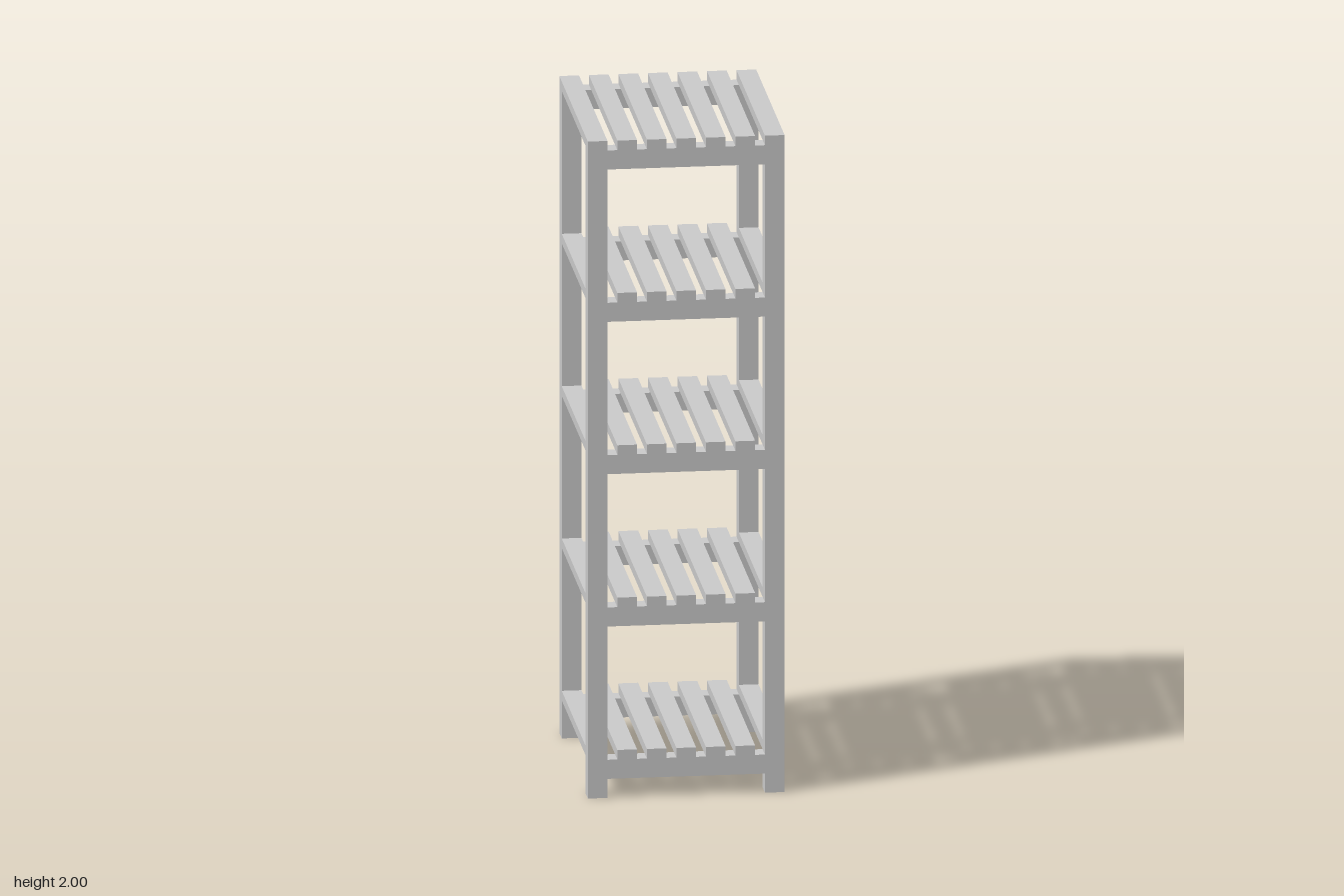
import * as THREE from 'three';

// The rack is laid out on a module: one slat thickness, 69 of them high.
const U = 2 / 69;
const LEG = 2, HALF_W = 10, HALF_D = 12, HEIGHT = 69;
const LEVELS = 5, PITCH = 16, FIRST_TOP = 5;

export function createModel() {
  const model = new THREE.Group();
  model.name = 'slattedShelfRack';
  const material = new THREE.MeshStandardMaterial({ color: 0xcccccc, flatShading: true });

  // Box given by its size and centre, in modules
  const addBox = (parent, name, [w, h, d], [x, y, z]) => {
    const mesh = new THREE.Mesh(new THREE.BoxGeometry(w * U, h * U, d * U), material);
    mesh.name = name;
    mesh.position.set(x * U, y * U, z * U);
    parent.add(mesh);
  };

  // Four corner legs
  const legX = HALF_W - LEG / 2, legZ = HALF_D - LEG / 2;
  for (const sx of [-1, 1]) {
    for (const sz of [-1, 1]) {
      const name = (sz > 0 ? 'front' : 'back') + (sx > 0 ? 'Left' : 'Right') + 'Leg';
      addBox(model, name, [LEG, HEIGHT, LEG], [sx * legX, HEIGHT / 2, sz * legZ]);
    }
  }

  // Shelves: a front and a back rail carrying seven slats
  for (let level = 0; level < LEVELS; level++) {
    const shelf = new THREE.Group();
    shelf.name = `shelf${level + 1}`;
    const top = FIRST_TOP + level * PITCH;

    for (const sz of [-1, 1]) {
      addBox(shelf, sz > 0 ? 'frontRail' : 'backRail',
        [2 * (HALF_W - LEG), 2, LEG], [0, top - 2, sz * legZ]);
    }

    // The outermost slats fit between the legs, the others lie over the rails
    for (let i = -3; i <= 3; i++) {
      const outer = Math.abs(i) === 3;
      const length = 2 * (outer ? HALF_D - LEG : HALF_D);
      addBox(shelf, outer ? 'sideSlat' : 'slat', [2, 1, length], [i * 3, top - 0.5, 0]);
    }
    model.add(shelf);
  }
  return model;
}
